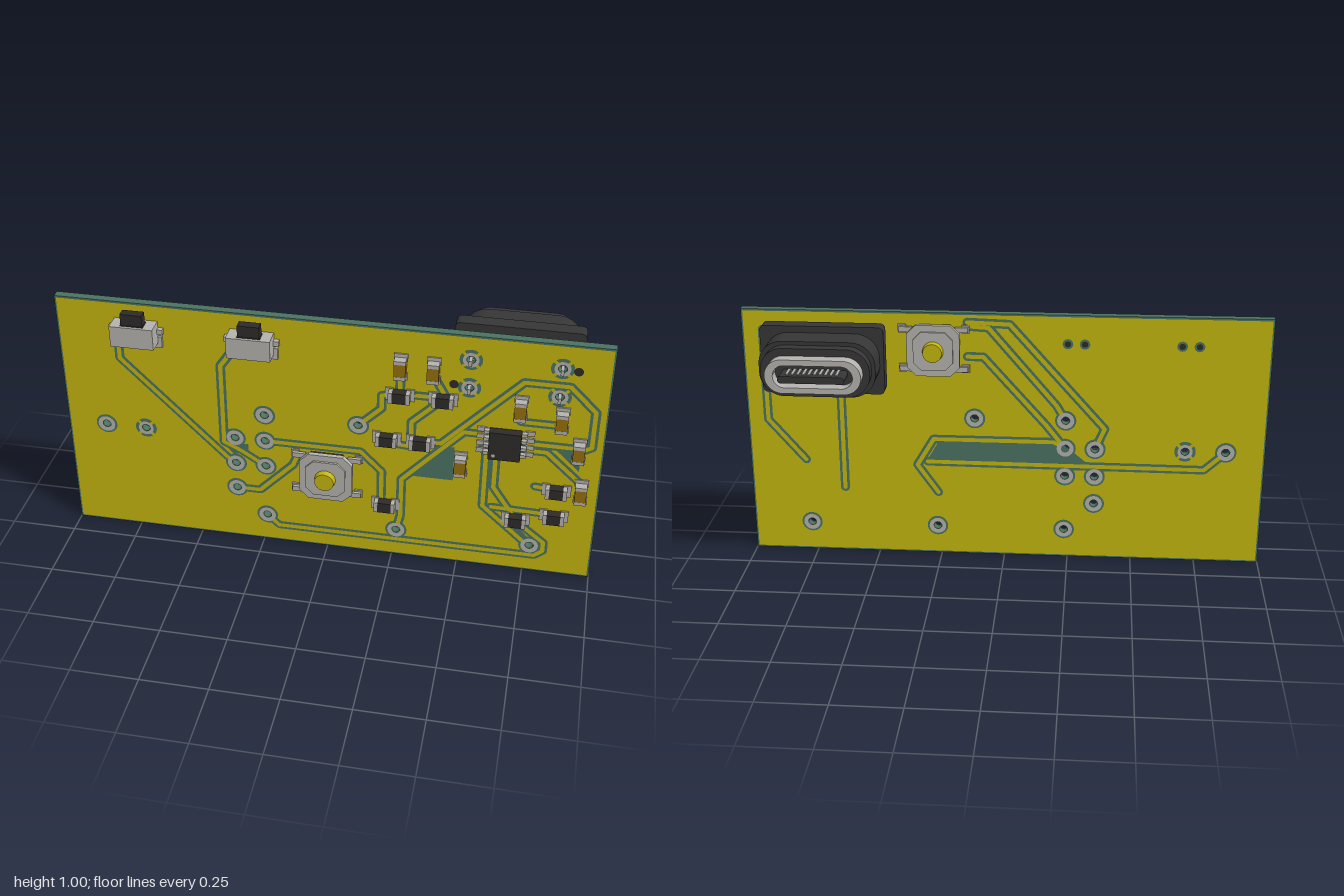
import * as THREE from 'three';
import { mergeGeometries } from 'three/addons/utils/BufferGeometryUtils.js';

const mat = (name, color, side = THREE.FrontSide) => {
  const m = new THREE.MeshStandardMaterial({ color, side });
  m.name = name;
  return m;
};

export function createModel() {
  const model = new THREE.Group();
  model.name = 'circuitBoard';
  const green = mat('board green', 0x4a7261, THREE.DoubleSide);
  const copper = mat('copper yellow', 0xc4b60e, THREE.DoubleSide);
  const metal = mat('metal grey', 0xb5b3ae, THREE.DoubleSide);
  const black = mat('plastic black', 0x363636);
  const chipDark = mat('chip dark', 0x2e2a2a);
  const brown = mat('ceramic brown', 0x96700c);
  const FRONT = 0.162, BACK = 0.13;

  const add = (name, geo, material, x = 0, y = 0, z = 0, parent = model) => {
    const m = new THREE.Mesh(geo, material);
    m.name = name;
    m.position.set(x, y, z);
    parent.add(m);
    return m;
  };
  const box = (name, w, h, d, material, x, y, z, parent) =>
    add(name, new THREE.BoxGeometry(w, h, d), material, x, y, z, parent);
  const layerZ = (s, k) => (s > 0 ? FRONT + k * 0.0012 : BACK - k * 0.0012);
  const group = (name, x, y, z) => {
    const g = new THREE.Group();
    g.name = name;
    g.position.set(x, y, z);
    model.add(g);
    return g;
  };
  const roundRect = (w, h, r) => {
    const s = new THREE.Shape(), a = w / 2, b = h / 2;
    s.absarc(a - r, b - r, r, 0, Math.PI / 2);
    s.absarc(-a + r, b - r, r, Math.PI / 2, Math.PI);
    s.absarc(-a + r, -b + r, r, Math.PI, Math.PI * 1.5);
    s.absarc(a - r, -b + r, r, Math.PI * 1.5, Math.PI * 2);
    return s;
  };
  const extrude = (shape, depth, curveSegments = 10) =>
    new THREE.ExtrudeGeometry(shape, { depth, bevelEnabled: false, curveSegments });

  // Board and copper planes, pierced by every plated hole
  const holes = [[-0.85, 0.465], [-0.35, 0.465], [-0.235, 0.465], [-0.235, 0.58], [-0.35, 0.35],
    [-0.235, 0.35], [-0.35, 0.235], [-0.235, 0.12], [0.115, 0.58], [0.265, 0.12], [0.77, 0.12]];
  const spoked = [[-0.695, 0.465], [0.51, 0.905], [0.51, 0.79], [0.825, 0.905], [0.825, 0.79]];
  const allHoles = [...holes, ...spoked];
  const plate = (inset) => {
    const a = 1 - inset, s = new THREE.Shape();
    s.moveTo(-a, inset); s.lineTo(a, inset); s.lineTo(a, a); s.lineTo(-a, a); s.closePath();
    for (const [x, y] of allHoles) s.holes.push(new THREE.Path().absarc(x, y, 0.016, 0, Math.PI * 2, true));
    return s;
  };
  add('board', extrude(plate(0), FRONT - BACK, 8), green, 0, 0, BACK);
  for (const s of [1, -1]) add('copperPlane', new THREE.ShapeGeometry(plate(0.007), 8), copper, 0, 0, layerZ(s, 1));

  // Pads with clearance rings and plated barrels
  for (const [x, y] of allHoles) {
    const isSpoked = spoked.some((p) => p[0] === x && p[1] === y);
    const barrel = add('barrel', new THREE.CylinderGeometry(0.016, 0.016, FRONT - BACK, 16, 1, true), metal, x, y, (FRONT + BACK) / 2);
    barrel.rotation.x = Math.PI / 2;
    for (const s of [1, -1]) {
      add('clearance', new THREE.RingGeometry(0.016, 0.041, 20), green, x, y, layerZ(s, 2));
      add('pad', new THREE.RingGeometry(0.016, isSpoked ? 0.029 : 0.033, 20), metal, x, y, layerZ(s, 4));
      if (isSpoked) for (let i = 0; i < 4; i++) {
        const a = Math.PI / 4 + i * Math.PI / 2;
        const m = add('spoke', new THREE.PlaneGeometry(0.018, 0.012), copper, x + Math.cos(a) * 0.034, y + Math.sin(a) * 0.034, layerZ(s, 3));
        m.rotation.z = a;
      }
    }
  }

  // Traces: a copper line over a wider green clearance
  const strip = (pts, w) => {
    const parts = [];
    pts.forEach(([x, y], i) => {
      parts.push(new THREE.CircleGeometry(w / 2, 12).translate(x, y, 0));
      if (!i) return;
      const [px, py] = pts[i - 1];
      parts.push(new THREE.PlaneGeometry(Math.hypot(x - px, y - py), w)
        .rotateZ(Math.atan2(y - py, x - px)).translate((x + px) / 2, (y + py) / 2, 0));
    });
    return mergeGeometries(parts);
  };
  const trim = (p, q, d) => {
    if (!allHoles.some((h) => Math.hypot(h[0] - p[0], h[1] - p[1]) < 0.01)) return p;
    const l = Math.hypot(q[0] - p[0], q[1] - p[1]);
    return [p[0] + (q[0] - p[0]) * d / l, p[1] + (q[1] - p[1]) * d / l];
  };
  const trace = (s, pts) => [[0.036, 2, green, 'traceClearance'], [0.016, 3, copper, 'trace']].forEach(([w, k, m, n]) => {
    const p = pts.slice(), e = p.length - 1, d = 0.017 + w / 2;
    p[0] = trim(pts[0], pts[1], d);
    p[e] = trim(pts[e], pts[e - 1], d);
    add(n, strip(p, w), m, 0, 0, layerZ(s, k));
  });
  const patch = (s, pts) => add('bareArea',
    new THREE.ShapeGeometry(new THREE.Shape(pts.map((p) => new THREE.Vector2(...p)))), green, 0, 0, layerZ(s, 1.6));
  [
    [[-0.772, 0.845], [-0.772, 0.765], [-0.385, 0.375], [-0.35, 0.35]],
    [[-0.345, 0.845], [-0.393, 0.775], [-0.393, 0.44], [-0.33, 0.41], [-0.235, 0.35]],
    [[-0.235, 0.465], [0.125, 0.465], [0.205, 0.385], [0.205, 0.25]],
    [[-0.35, 0.235], [-0.26, 0.235], [-0.13, 0.37], [-0.11, 0.42]],
    [[-0.235, 0.12], [-0.19, 0.075], [0.79, 0.075], [0.82, 0.1], [0.82, 0.14], [0.72, 0.22]],
    [[0.115, 0.58], [0.2, 0.665], [0.2, 0.72], [0.25, 0.735]],
    [[0.265, 0.12], [0.28, 0.19], [0.28, 0.36], [0.5, 0.6], [0.57, 0.6]],
    [[0.34, 0.54], [0.42, 0.54], [0.7, 0.835], [0.86, 0.835], [0.955, 0.74], [0.955, 0.59], [0.92, 0.57]],
    [[0.42, 0.73], [0.31, 0.62], [0.31, 0.55]], [[0.205, 0.52], [0.33, 0.51]],
    [[0.265, 0.82], [0.265, 0.735], [0.38, 0.735]], [[0.38, 0.83], [0.43, 0.74]],
    [[0.72, 0.58], [0.9, 0.58]], [[0.72, 0.55], [0.8, 0.55], [0.93, 0.43]],
    [[0.57, 0.54], [0.585, 0.52], [0.585, 0.28], [0.74, 0.14]],
    [[0.62, 0.52], [0.62, 0.37], [0.7, 0.25]],
    [[0.617, 0.28], [0.83, 0.275]], [[0.77, 0.395], [0.83, 0.39]],
    [[0.7, 0.7], [0.7, 0.67], [0.83, 0.67]],
  ].forEach((p) => trace(1, p));
  patch(1, [[0.31, 0.38], [0.47, 0.38], [0.47, 0.53], [0.44, 0.52]]);
  patch(1, [[0.82, 0.575], [0.92, 0.575], [0.92, 0.48]]);
  patch(1, [[0.65, 0.225], [0.7, 0.225], [0.765, 0.15], [0.735, 0.135]]);
  patch(1, [[-0.4, 0.44], [-0.3, 0.44], [-0.3, 0.4], [-0.36, 0.39]]);
  [
    [[0.92, 0.92], [0.92, 0.555], [0.78, 0.39]],
    [[0.63, 0.8], [0.63, 0.275]],
    [[0.14, 0.95], [0.06, 0.945], [-0.2, 0.64], [-0.235, 0.58]],
    [[0.14, 0.965], [-0.02, 0.96], [-0.385, 0.55], [-0.35, 0.465]],
    [[0.14, 0.83], [0.08, 0.83], [-0.16, 0.56], [-0.235, 0.465]],
    [[0.26, 0.265], [0.34, 0.38], [0.275, 0.49], [-0.19, 0.49], [-0.235, 0.465]],
    [[0.3, 0.395], [-0.77, 0.39], [-0.85, 0.465]],
  ].forEach((p) => trace(-1, p));
  patch(-1, [[0.3, 0.405], [0.25, 0.49], [-0.22, 0.49], [-0.32, 0.405]]);

  // Small two-ended components
  const chipPart = (x, y, vertical, material, name) => {
    const g = group(name, x, y, FRONT);
    box('body', 0.052, 0.042, 0.034, material, 0, 0, 0.02, g);
    for (const s of [-1, 1]) {
      box('endCap', 0.014, 0.043, 0.035, metal, s * 0.032, 0, 0.02, g);
      box('solderPad', 0.03, 0.05, 0.007, metal, s * 0.038, 0, 0.0035, g);
    }
    if (vertical) g.rotation.z = Math.PI / 2;
  };
  [[0.265, 0.85], [0.382, 0.848], [0.695, 0.727], [0.842, 0.695], [0.495, 0.46], [0.912, 0.572], [0.935, 0.395]]
    .forEach(([x, y]) => chipPart(x, y, true, brown, 'capacitor'));
  [[0.265, 0.733], [0.42, 0.733], [0.222, 0.54], [0.345, 0.54], [0.222, 0.24], [0.848, 0.39], [0.848, 0.273], [0.71, 0.24]]
    .forEach(([x, y]) => chipPart(x, y, false, chipDark, 'resistor'));

  // Eight-legged chip
  const ic = group('chip', 0.65, 0.58, FRONT);
  box('chipBody', 0.115, 0.115, 0.034, chipDark, 0, 0, 0.027, ic);
  add('orientationDot', new THREE.CircleGeometry(0.007, 12), metal, -0.038, -0.04, 0.045, ic);
  for (const s of [-1, 1]) for (let i = 0; i < 4; i++) {
    const y = -0.045 + i * 0.03;
    box('leg', 0.022, 0.013, 0.018, metal, s * 0.066, y, 0.016, ic);
    box('foot', 0.034, 0.018, 0.007, metal, s * 0.086, y, 0.005, ic);
  }

  // Push buttons with octagonal cover and round key
  const pushButton = (x, y, z, back) => {
    const g = group('pushButton', x, y, z);
    if (back) g.rotation.y = Math.PI;
    const oct = (a, c) => new THREE.Shape([[a, -c], [a, c], [c, a], [-c, a], [-a, c], [-a, -c], [-c, -a], [c, -a]]
      .map((p) => new THREE.Vector2(...p)));
    add('base', extrude(oct(0.092, 0.06), 0.02), chipDark, 0, 0, 0.004, g);
    add('cover', extrude(oct(0.1, 0.065), 0.018), metal, 0, 0, 0.02, g);
    add('collar', extrude(oct(0.075, 0.045), 0.008), metal, 0, 0, 0.038, g);
    add('key', new THREE.CylinderGeometry(0.036, 0.04, 0.024, 24).rotateX(Math.PI / 2), copper, 0, 0, 0.056, g);
    for (const sx of [-1, 1]) for (const sy of [-1, 1]) {
      box('leg', 0.05, 0.02, 0.012, metal, sx * 0.105, sy * 0.078, 0.014, g);
      box('foot', 0.03, 0.032, 0.008, metal, sx * 0.12, sy * 0.078, 0.004, g);
    }
  };
  pushButton(0, 0.35, FRONT, false);
  pushButton(0.267, 0.86, BACK, true);

  // Side switches on the top edge, with locating pegs showing at the back
  for (const x of [-0.697, -0.27]) {
    const g = group('sideSwitch', x, 0.89, FRONT);
    box('housing', 0.16, 0.082, 0.068, metal, 0, 0.005, 0.037, g);
    box('lowerLip', 0.12, 0.02, 0.03, metal, 0, -0.04, 0.018, g);
    box('plunger', 0.08, 0.06, 0.034, chipDark, 0, 0.062, 0.04, g);
    box('recess', 0.085, 0.006, 0.045, chipDark, 0, 0.045, 0.038, g);
    for (const s of [-1, 1]) {
      box('foot', 0.028, 0.045, 0.012, metal, s * 0.08, -0.035, 0.007, g);
      box('tab', 0.024, 0.02, 0.02, metal, s * 0.088, 0.01, 0.01, g);
      add('pegHoleRim', new THREE.CircleGeometry(0.02, 16), green, x + s * 0.032, 0.888, layerZ(-1, 2));
      const peg = add('peg', new THREE.CircleGeometry(0.012, 16), chipDark, x + s * 0.032, 0.888, layerZ(-1, 3));
      peg.rotation.y = Math.PI;
    }
  }

  // Rear connector: stacked sections from the board outwards
  const c = group('connector', 0.667, 0.85, 0);
  const section = (name, w, h, r, z0, z1, material) => add(name, extrude(roundRect(w, h, r), z1 - z0), material, 0, 0, z0, c);
  section('base', 0.4, 0.188, 0.02, 0.04, 0.127, black);
  section('flange', 0.46, 0.26, 0.02, -0.01, 0.045, black);
  section('body', 0.428, 0.21, 0.09, -0.115, 0.0, black);
  section('collar', 0.4, 0.182, 0.085, -0.155, -0.11, black);
  const shell = roundRect(0.35, 0.127, 0.063);
  shell.holes.push(roundRect(0.29, 0.084, 0.042));
  add('shell', extrude(shell, 0.05, 14), metal, 0, 0, -0.202, c);
  section('tongue', 0.24, 0.026, 0.012, -0.235, -0.15, black);
  for (let i = 0; i < 10; i++) for (const s of [-1, 1])
    box('contact', 0.01, 0.005, 0.06, metal, -0.09 + i * 0.02, s * 0.014, -0.185, c);
  // Metal cover, solder pins and posts
  for (const s of [1, -1]) box('coverPlate', 0.37, 0.008, 0.045, metal, 0, s * 0.096, 0.07, c);
  for (let i = 0; i < 12; i++) box('solderPin', 0.013, 0.01, 0.034, metal, -0.143 + i * 0.026, 0.096, 0.111, c);
  for (const [x, y] of spoked.slice(1)) box('mountPost', 0.012, 0.022, 0.08, metal, x, y, 0.154);
  for (const [x, y] of [[0.88, 0.9], [0.455, 0.8]])
    add('locatingPeg', new THREE.CircleGeometry(0.017, 16), chipDark, x, y, layerZ(1, 4));
  return model;
}
